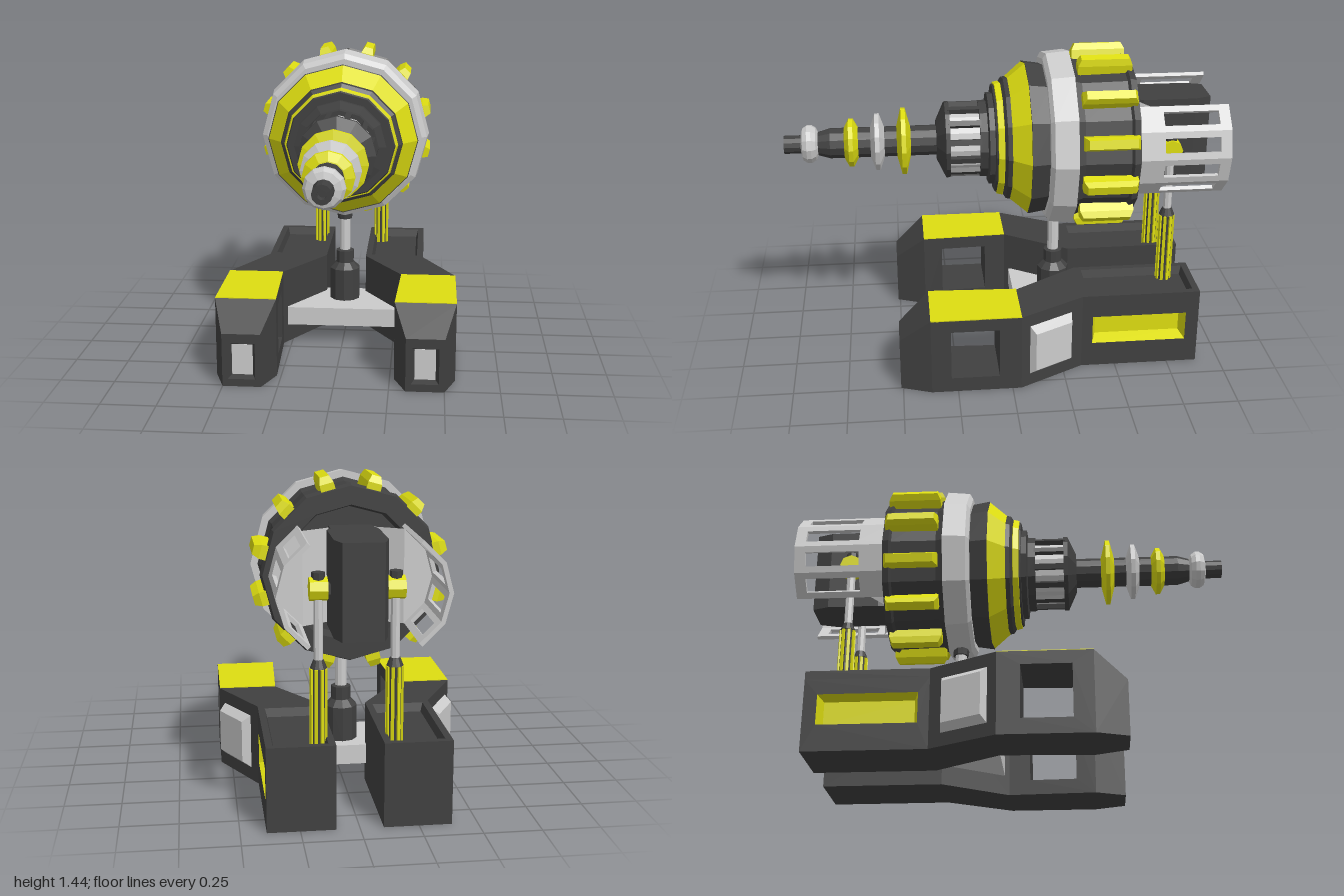
import * as THREE from 'three';

const mat = (color) => new THREE.MeshStandardMaterial({ color, flatShading: true, side: THREE.DoubleSide });
const GREY = mat(0xcccccc), DARK = mat(0x404040), YELLOW = mat(0xdddd11);

function add(parent, name, geo, material, x = 0, y = 0, z = 0) {
  const m = new THREE.Mesh(geo, material);
  m.name = name;
  m.position.set(x, y, z);
  parent.add(m);
  return m;
}

// Rectangular loops, counter-clockwise seen from the + end of their axis
const rectX = (x, z0, z1, y0, y1) => [[x, y0, z0], [x, y1, z0], [x, y1, z1], [x, y0, z1]];
const rectY = (y, x0, x1, z0, z1) => [[x0, y, z0], [x0, y, z1], [x1, y, z1], [x1, y, z0]];
const rectZ = (z, x0, x1, y0, y1) => [[x0, y0, z], [x1, y0, z], [x1, y1, z], [x0, y1, z]];

// Skin over successive loops, with optional end caps
function loft(loops, startCap = true, endCap = true) {
  const n = loops[0].length, index = [];
  for (let k = 0; k < loops.length - 1; k++) {
    for (let i = 0; i < n; i++) {
      const a = k * n + i, b = k * n + (i + 1) % n;
      index.push(a, b, b + n, a, b + n, a + n);
    }
  }
  const last = (loops.length - 1) * n;
  for (let i = 1; i < n - 1; i++) {
    if (startCap) index.push(0, i + 1, i);
    if (endCap) index.push(last, last + i, last + i + 1);
  }
  const g = new THREE.BufferGeometry();
  g.setAttribute('position', new THREE.Float32BufferAttribute(loops.flat(2), 3));
  g.setIndex(index);
  g.computeVertexNormals();
  return g;
}

// Turned part along z; profile is [z, radius] with rising z
function turned(profile, sides = 12) {
  return new THREE.LatheGeometry(profile.map(([z, r]) => new THREE.Vector2(r, z)), sides).rotateX(Math.PI / 2);
}

const rectPath = (P, x0, x1, y0, y1) => {
  const p = new P();
  p.moveTo(x0, y0).lineTo(x1, y0).lineTo(x1, y1).lineTo(x0, y1).closePath();
  return p;
};

function makeLeg() {
  const leg = new THREE.Group();
  // Rear box with a side pocket and a rimmed top
  add(leg, 'rearBox', loft([rectX(0.1, -0.89, -0.34, 0, 0.33), rectX(0.39, -0.89, -0.34, 0, 0.33),
    rectX(0.39, -0.83, -0.39, 0.12, 0.26)], true, false), DARK);
  add(leg, 'sidePocket', loft([rectX(0.39, -0.83, -0.39, 0.12, 0.26), rectX(0.33, -0.81, -0.41, 0.14, 0.245)], false), YELLOW);
  add(leg, 'topRim', loft([rectY(0.33, 0.1, 0.39, -0.89, -0.34), rectY(0.37, 0.1, 0.39, -0.89, -0.34),
    rectY(0.37, 0.13, 0.36, -0.86, -0.37), rectY(0.331, 0.14, 0.35, -0.85, -0.38)], false), DARK);
  // Slanted middle with a raised outer panel
  add(leg, 'middleSection', loft([rectZ(-0.34, 0.1, 0.39, 0, 0.37), rectZ(-0.04, 0.29, 0.55, 0, 0.37)]), DARK);
  const panelLoop = (z0, z1, y0, y1, out) => rectX(0, z0, z1, y0, y1)
    .map(([, y, z]) => [0.39 + (z + 0.34) * 0.533 + out * 0.88, y, z - out * 0.47]);
  add(leg, 'middlePanel', loft([panelLoop(-0.285, -0.08, 0.06, 0.31, 0), panelLoop(-0.265, -0.09, 0.09, 0.28, 0.035)]), GREY);
  // Front section with a window right through it
  const side = rectPath(THREE.Shape, -0.37, 0.04, 0, 0.37);
  side.holes.push(rectPath(THREE.Path, -0.28, -0.06, 0.07, 0.31));
  const front = new THREE.ExtrudeGeometry(side, { depth: 1, bevelEnabled: false }).rotateY(Math.PI / 2);
  const p = front.attributes.position;
  for (let i = 0; i < p.count; i++) {
    const inner = 0.288 - 0.044 * (p.getZ(i) + 0.04);
    p.setX(i, inner + p.getX(i) * (0.55 - inner));
  }
  front.computeVertexNormals();
  add(leg, 'frontSection', front, DARK);
  const cover = (y) => [[0.288, y, -0.04], [0.27, y, 0.37], [0.55, y, 0.37], [0.55, y, -0.04]];
  add(leg, 'topCover', loft([cover(0.368), cover(0.373)]), YELLOW);
  // Tapered nose with a recessed lamp window
  add(leg, 'nose', loft([rectZ(0.37, 0.27, 0.55, 0, 0.37), rectZ(0.51, 0.325, 0.5, 0, 0.25),
    rectZ(0.51, 0.35, 0.475, 0.035, 0.205), rectZ(0.475, 0.365, 0.46, 0.045, 0.19)], true, false), DARK);
  add(leg, 'noseWindow', loft([rectZ(0.47, 0.36, 0.465, 0.04, 0.195), rectZ(0.476, 0.365, 0.46, 0.045, 0.19)]), GREY);
  return leg;
}

function makeRearStrut() {
  const strut = new THREE.Group();
  strut.position.set(0.16, 0, -0.765);
  add(strut, 'strutSleeve', new THREE.CylinderGeometry(0.031, 0.031, 0.36, 12), DARK, 0, 0.49);
  add(strut, 'strutCap', new THREE.CylinderGeometry(0.022, 0.036, 0.035, 12), DARK, 0, 0.685);
  for (let i = 0; i < 8; i++) {
    const a = (i + 0.5) * Math.PI / 4;
    add(strut, 'strutRib', new THREE.BoxGeometry(0.013, 0.35, 0.013), YELLOW, Math.sin(a) * 0.031, 0.49, Math.cos(a) * 0.031)
      .rotation.y = a;
  }
  add(strut, 'strutRod', new THREE.CylinderGeometry(0.02, 0.02, 0.32, 8), GREY, 0, 0.83);
  add(strut, 'strutEye', new THREE.CylinderGeometry(0.05, 0.05, 0.075, 8).rotateZ(Math.PI / 2), YELLOW, 0, 1.0);
  add(strut, 'strutPin', new THREE.CylinderGeometry(0.028, 0.028, 0.1, 8), DARK, 0, 1.02);
  // Pin arm into the rear block
  add(strut, 'strutAxle', new THREE.BoxGeometry(0.1, 0.04, 0.04), DARK, -0.06, 1.0);
  return strut;
}

// Curved guard of four windowed plates behind the body
function makeGrille() {
  const grille = new THREE.Group();
  const arc = [-60, -30, 0, 30, 60].map((d) => {
    const a = THREE.MathUtils.degToRad(d);
    return new THREE.Vector2(0.105 + 0.245 * Math.cos(a), 0.245 * Math.sin(a));
  });
  for (let i = 0; i < 4; i++) {
    const t = arc[i + 1].clone().sub(arc[i]), len = t.length();
    t.normalize();
    const s = rectPath(THREE.Shape, 0, len, -1, -0.56);
    s.holes.push(rectPath(THREE.Path, 0.03, len - 0.03, -0.95, -0.7));
    const g = new THREE.ExtrudeGeometry(s, { depth: 0.018, bevelEnabled: false }).translate(0, 0, -0.018);
    g.applyMatrix4(new THREE.Matrix4().makeBasis(new THREE.Vector3(t.x, t.y, 0),
      new THREE.Vector3(0, 0, 1), new THREE.Vector3(t.y, -t.x, 0)));
    add(grille, 'grillePlate', g, GREY, arc[i].x, arc[i].y, 0);
  }
  // Sloped foot joining the guard to the body
  add(grille, 'grilleFoot', loft([arc.map((v) => [v.x - 0.015, v.y * 0.95, -0.66]),
    arc.map((v) => [0.09 + (v.x - 0.22) * 0.8, v.y * 0.95, -0.59])]), GREY);
  return grille;
}

function makeDrill() {
  const drill = new THREE.Group();
  drill.position.y = 1.02;
  // Shaft with a hollow tip
  add(drill, 'shaft', turned([[0.25, 0.07], [0.79, 0.07], [0.86, 0.05], [0.91, 0.042], [1, 0.042],
    [1, 0.02], [0.96, 0.02], [0.96, 0]]), DARK);
  // Rings along the shaft: centre z, radius, material
  for (const [z, r, m] of [[0.885, 0.088, GREY], [0.695, 0.112, YELLOW], [0.575, 0.132, GREY], [0.455, 0.155, YELLOW]]) {
    add(drill, 'shaftRing', turned([[z - 0.042, 0.05], [z - 0.03, 0.075], [z - 0.01, r], [z + 0.01, r],
      [z + 0.03, 0.075], [z + 0.038, 0.045]]), m);
  }
  // Slotted collar
  add(drill, 'collarFront', turned([[0.245, 0.14], [0.245, 0.178], [0.265, 0.178], [0.305, 0.092], [0.305, 0.06]]), DARK);
  add(drill, 'collarCore', turned([[0.06, 0.155], [0.25, 0.155]]), GREY);
  add(drill, 'collarBase', turned([[0.03, 0.26], [0.045, 0.25], [0.045, 0.215], [0.07, 0.215], [0.075, 0.18], [0.11, 0.178], [0.11, 0.14]]), DARK);
  // Body, front to rear
  add(drill, 'thinRing', turned([[0.005, 0.262], [0.01, 0.268], [0.035, 0.262], [0.04, 0.24]]), YELLOW);
  add(drill, 'neckBand', turned([[-0.03, 0.29], [-0.005, 0.285], [0.01, 0.26]]), DARK);
  add(drill, 'frontCone', turned([[-0.105, 0.357], [-0.02, 0.285], [-0.015, 0.26]]), YELLOW);
  add(drill, 'shoulder', turned([[-0.2, 0.345], [-0.105, 0.36], [-0.1, 0.34]]), DARK);
  add(drill, 'mainRing', turned([[-0.305, 0.34], [-0.305, 0.41], [-0.2, 0.4], [-0.185, 0.375], [-0.185, 0.33]]), GREY);
  add(drill, 'rearDrum', turned([[-0.52, 0], [-0.52, 0.28], [-0.585, 0.295], [-0.585, 0.375], [-0.555, 0.385],
    [-0.545, 0.37], [-0.34, 0.365], [-0.3, 0.38]]), DARK);
  for (let i = 0; i < 12; i++) {
    const mid = (i + 0.5) * Math.PI / 6;
    // Collar ribs and drum fins
    const rib = add(drill, 'collarRib', new THREE.BoxGeometry(0.026, 0.03, 0.15), DARK,
      -Math.sin(mid) * 0.158, Math.cos(mid) * 0.158, 0.178);
    rib.rotation.z = mid;
    const fin = add(drill, 'drumFin', loft([rectY(0.345, -0.032, 0.032, -0.575, -0.33),
      rectY(0.395, -0.03, 0.03, -0.575, -0.33), rectY(0.425, -0.02, 0.02, -0.56, -0.345)]), YELLOW);
    fin.rotation.z = mid;
  }
  // Rear block
  const block = (y) => [[-0.09, y, -0.5], [0.09, y, -0.5], [0.09, y, -0.6], [0.11, y, -0.64],
    [0.11, y, -0.88], [0.085, y, -0.955], [-0.085, y, -0.955], [-0.11, y, -0.88], [-0.11, y, -0.64], [-0.09, y, -0.6]];
  add(drill, 'rearBlock', loft([block(-0.2), block(0.2)]), DARK);
  return drill;
}

export function createModel() {
  const model = new THREE.Group();
  model.name = 'drillMachine';
  // Mirrored pairs
  for (const [name, make, y] of [['leg', makeLeg, 0], ['rearStrut', makeRearStrut, 0], ['grille', makeGrille, 1.02]]) {
    for (const s of [1, -1]) {
      const half = new THREE.Group();
      half.name = (s > 0 ? 'left' : 'right') + name[0].toUpperCase() + name.slice(1);
      half.scale.x = s;
      half.position.y = y;
      half.add(make());
      model.add(half);
    }
  }
  // Cross plate and central support
  add(model, 'crossPlate', new THREE.BoxGeometry(0.54, 0.09, 0.32), GREY, 0, 0.137, -0.22);
  const post = [[0.18, 0], [0.18, 0.075], [0.34, 0.075], [0.37, 0.045], [0.43, 0.045], [0.44, 0]];
  add(model, 'supportBase', new THREE.LatheGeometry(post.map(([y, r]) => new THREE.Vector2(r, y)), 10), DARK, 0, 0, -0.25);
  add(model, 'supportRod', new THREE.CylinderGeometry(0.027, 0.027, 0.2, 10), GREY, 0, 0.52, -0.25);
  add(model, 'supportCap', new THREE.CylinderGeometry(0.046, 0.036, 0.08, 10), DARK, 0, 0.635, -0.25);
  const drill = makeDrill();
  drill.name = 'drill';
  model.add(drill);
  return model;
}
